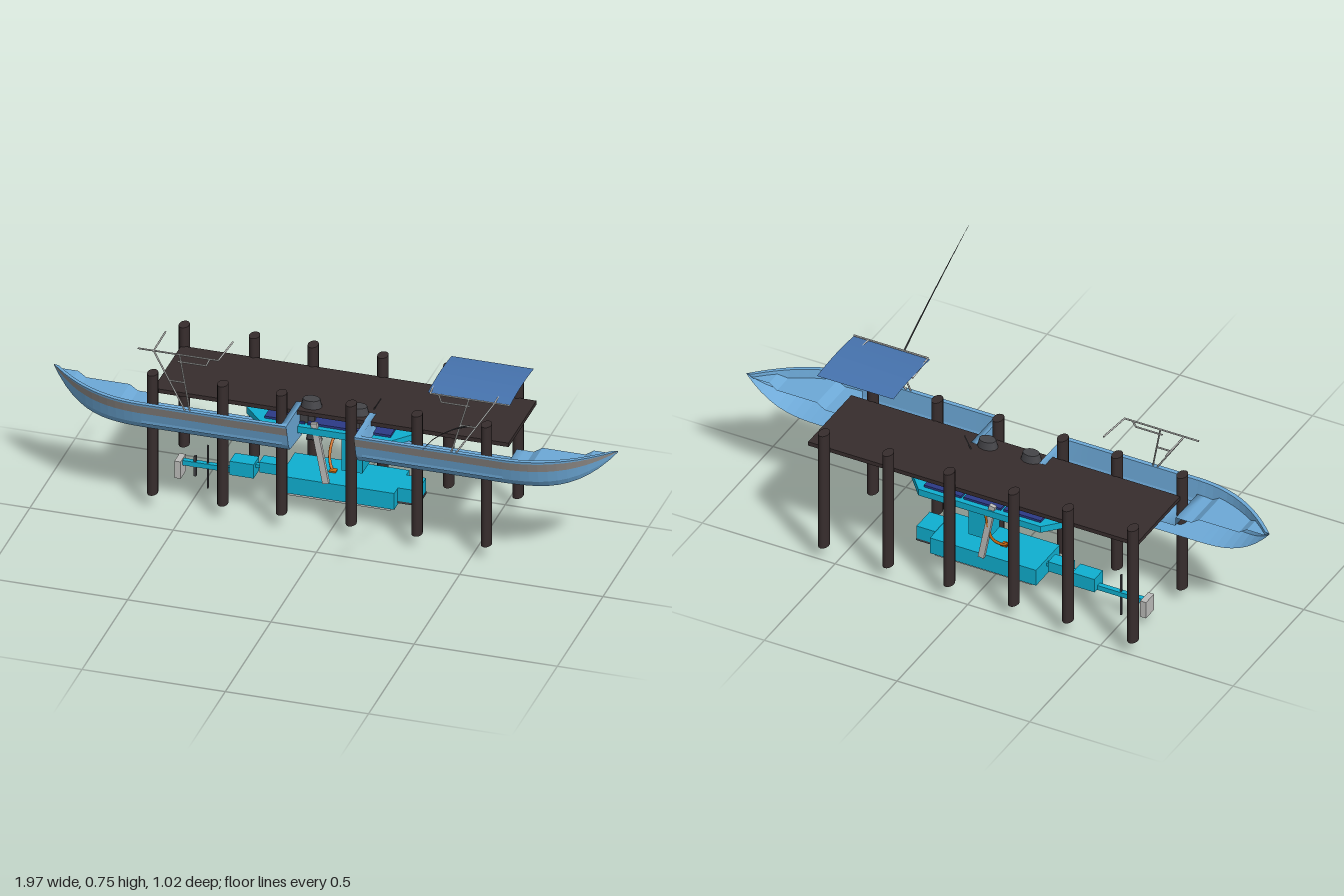
import * as THREE from 'three';

const paint = (name, color) => {
  const m = new THREE.MeshStandardMaterial({ color, side: THREE.DoubleSide });
  m.name = name;
  return m;
};
const M = {
  wood: paint('dark timber', 0x372d2d),
  blue: paint('hull blue', 0x6ca8d6),
  stripe: paint('stripe grey', 0x8f8b88),
  cyan: paint('vehicle cyan', 0x0fafd0),
  canvas: paint('canopy blue', 0x4673ae),
  metal: paint('pale metal', 0xbcbcba),
  orange: paint('cable orange', 0xcc6a10),
  solar: paint('panel blue', 0x2c3a86),
  dark: paint('engine grey', 0x444448),
};
const CUT = -0.215; // plane of the boats' open side
const AXIS = -0.31; // centre line of the underwater vehicle

const V = (x, y, z) => new THREE.Vector3(x, y, z);

function add(parent, name, geometry, material) {
  const mesh = new THREE.Mesh(geometry, material);
  mesh.name = name;
  parent.add(mesh);
  return mesh;
}

// Box given by its limits on each axis
function box(parent, name, material, x0, x1, y0, y1, z0, z1) {
  const m = add(parent, name, new THREE.BoxGeometry(Math.abs(x1 - x0), y1 - y0, Math.abs(z1 - z0)), material);
  m.position.set((x0 + x1) / 2, (y0 + y1) / 2, (z0 + z1) / 2);
  return m;
}

// Straight round bar between two points
function bar(parent, name, material, a, b, r0, r1 = r0, sides = 8) {
  const m = add(parent, name, new THREE.CylinderGeometry(r1, r0, a.distanceTo(b), sides), material);
  m.position.copy(a).add(b).multiplyScalar(0.5);
  m.quaternion.setFromUnitVectors(V(0, 1, 0), b.clone().sub(a).normalize());
  return m;
}

// Skin stretched over rows of points; flip reverses the facing
function skin(rows, flip) {
  const n = rows[0].length, index = [];
  for (let i = 0; i < rows.length - 1; i++) {
    for (let j = 0; j < n - 1; j++) {
      const a = i * n + j, b = a + 1, c = a + n, d = c + 1;
      index.push(...(flip ? [a, c, b, b, c, d] : [a, b, c, b, d, c]));
    }
  }
  const g = new THREE.BufferGeometry().setFromPoints(rows.flat());
  g.setIndex(index);
  g.computeVertexNormals();
  return g;
}

// Hull shape along the boat's length
const ramp = (x, a) => Math.min(1, Math.max(0, (x - a) / (0.985 - a)));
const breadth = x => 0.177 * (1 - Math.pow(ramp(x, 0.62), 2.2));
const keel = x => 0.316 + 0.118 * Math.pow(ramp(x, 0.7), 3);
const TOP = 0.437;

function floorHeight(x) {
  const y = x < 0.14 ? TOP : x <= 0.63 ? 0.352 : x <= 0.72 ? 0.385 : x <= 0.9 ? 0.405 : 0.425;
  return Math.max(y, keel(x) + 0.004);
}

function boat(s) {
  const g = new THREE.Group();
  const xs = [0.118];
  for (let x = 0.14; x < 0.62; x += 0.08) xs.push(x - 0.001, x);
  for (let x = 0.63; x < 0.97; x += 0.03) xs.push(x, x + 0.001);
  xs.push(0.965, 0.985);
  const outer = x => {
    const b = breadth(x), k = keel(x), h = TOP - k;
    return [[b, TOP], [b * 0.99, TOP - 0.07 * h], [b * 0.93, TOP - 0.34 * h],
      [b * 0.86, k + 0.3 * h], [b * 0.76, k + 0.1 * h], [0, k]];
  };
  const inner = x => {
    const b = breadth(x), w = Math.max(0, b - 0.016), f = floorHeight(x);
    return [[b, TOP], [w, TOP], [w * 0.96, f], [0, f]];
  };
  const strip = (name, section, j, mat, flip) => {
    const rows = xs.map(x => [j, j + 1].map(i => {
      const [w, y] = section(x)[i];
      return V(s * x, y, CUT + w);
    }));
    add(g, name, skin(rows, flip), mat);
  };
  ['gunwaleBand', 'sideStripe', 'upperSide', 'lowerSide', 'bottom'].forEach((n, j) =>
    strip(n, outer, j, j === 1 ? M.stripe : M.blue, s < 0));
  ['gunwale', 'innerWall', 'floor'].forEach((n, j) => strip(n, inner, j, M.blue, s > 0));

  // Flat stern
  const stern = outer(0.118).map(([w, y]) => [V(s * 0.118, y, CUT + w), V(s * 0.118, y, CUT)]);
  add(g, 'transom', skin(stern, s > 0), M.blue);

  // Canopy frame
  const frame = new THREE.Group();
  frame.name = 'canopyFrame';
  g.add(frame);
  const tubes = [
    [[0.47, 0.43, -0.045], [0.595, 0.622, -0.085]],
    [[0.455, 0.43, -0.045], [0.505, 0.622, -0.085]],
    [[0.37, 0.622, -0.085], [0.65, 0.622, -0.085]],
    [[0.37, 0.622, -0.085], [0.36, 0.625, CUT]],
    [[0.595, 0.622, -0.085], [0.595, 0.625, CUT]],
    [[0.41, 0.598, -0.08], [0.51, 0.598, -0.08]],
    [[0.41, 0.598, -0.08], [0.4, 0.622, -0.085]],
    [[0.48, 0.53, -0.065], [0.535, 0.53, -0.065]],
  ];
  for (const [a, b] of tubes) bar(frame, 'frameTube', M.metal, V(s * a[0], a[1], a[2]), V(s * b[0], b[1], b[2]), 0.003);

  // Outboard motor
  const motor = new THREE.Group();
  motor.name = 'outboardMotor';
  g.add(motor);
  const cowl = add(motor, 'cowling', new THREE.CylinderGeometry(0.75, 1, 0.04, 12), M.dark);
  cowl.scale.set(0.04, 1, 0.03);
  cowl.position.set(s * 0.082, 0.443, -0.205);
  box(motor, 'motorLeg', M.dark, s * 0.07, s * 0.095, 0.31, 0.43, CUT, -0.198);
  box(motor, 'motorBracket', M.dark, s * 0.09, s * 0.12, 0.375, 0.41, CUT, -0.19);
  bar(motor, 'gearcase', M.dark, V(s * 0.1, 0.31, -0.211), V(s * 0.05, 0.31, -0.211), 0.01, 0.006);
  for (let i = 0; i < 3; i++) {
    const a = i * 2.09;
    bar(motor, 'motorBlade', M.metal, V(s * 0.052, 0.31, -0.211),
      V(s * 0.052, 0.31 + 0.016 * Math.cos(a), -0.211 + 0.016 * Math.sin(a)), 0.004);
  }
  return g;
}

export function createModel() {
  const root = new THREE.Group();
  const part = name => {
    const g = new THREE.Group();
    g.name = name;
    root.add(g);
    return g;
  };

  // Dock
  const dock = part('dock');
  box(dock, 'deck', M.wood, -0.62, 0.62, 0.42, 0.435, -0.465, -0.16);
  for (const x of [-0.615, -0.37, -0.165, 0.078, 0.308, 0.55]) {
    for (const z of [-0.484, -0.137]) {
      const p = add(dock, 'piling', new THREE.CylinderGeometry(1, 1, 0.455, 16), M.wood);
      p.scale.set(0.018, 1, 0.026);
      p.position.set(x, 0.28, z);
    }
  }

  // Two mirrored boats
  for (const s of [1, -1]) {
    const b = boat(s);
    b.name = s > 0 ? 'leftBoat' : 'rightBoat';
    root.add(b);
  }

  // Gently arched canopy over the left boat
  const arch = [];
  for (let i = 0; i <= 8; i++) {
    const t = i / 8, y = 0.622 + 0.03 * t * (1 - t);
    arch.push([V(0.36, y, -0.09 - 0.26 * t), V(0.648, y, -0.09 - 0.26 * t)]);
  }
  add(root, 'canopy', skin(arch, false), M.canvas);

  // Fishing rod and short aerial
  const rod = [V(0.5, 0.512, -0.1), V(0.507, 0.605, 0.1), V(0.518, 0.702, 0.35), V(0.53, 0.745, 0.505)];
  const curve = new THREE.CatmullRomCurve3(rod);
  const pts = curve.getPoints(12);
  for (let i = 0; i < 12; i++) {
    bar(root, 'fishingRod', M.dark, pts[i], pts[i + 1], 0.0035 - 0.00026 * i, 0.0035 - 0.00026 * (i + 1), 6);
  }
  bar(root, 'aerial', M.dark, V(0.12, 0.43, -0.247), V(0.148, 0.48, -0.245), 0.002);

  // Floating platform with tapered ends
  const float = part('surfaceFloat');
  const plan = new THREE.Shape([[-0.32, 0.07], [-0.25, 0.145], [0.21, 0.145], [0.275, 0.07],
    [0.275, -0.07], [0.21, -0.145], [-0.25, -0.145], [-0.32, -0.07]].map(p => new THREE.Vector2(...p)));
  const slab = add(float, 'floatHull', new THREE.ExtrudeGeometry(plan, { depth: 0.025, bevelEnabled: false }), M.cyan);
  slab.rotation.x = -Math.PI / 2;
  slab.position.set(0, 0.347, AXIS);
  add(float, 'nosePlate', skin([
    [V(0.276, 0.35, -0.245), V(0.285, 0.392, -0.23)],
    [V(0.276, 0.35, -0.36), V(0.285, 0.392, -0.372)]], true), M.blue);
  for (const x of [-0.24, -0.09, 0.06]) {
    box(float, 'solarPanel', M.solar, x, x + 0.14, 0.372, 0.38, -0.435, -0.185);
  }
  box(float, 'mast', M.cyan, 0.003, 0.075, 0.17, 0.42, -0.352, -0.268);

  // Slanted arms and cable below the platform
  for (const z of [-0.175, -0.443]) {
    const arm = box(float, 'slantedArm', M.metal, -0.011, 0.011, -0.113, 0.113, -0.007, 0.007);
    arm.position.set(-0.043, 0.278, z);
    arm.rotation.z = 0.19;
  }
  const cable = new THREE.CatmullRomCurve3([V(-0.04, 0.13, AXIS), V(-0.06, 0.165, -0.335),
    V(-0.07, 0.2, -0.39), V(-0.055, 0.25, -0.435), V(-0.04, 0.35, -0.45)]);
  add(float, 'cable', new THREE.TubeGeometry(cable, 24, 0.005, 8), M.orange);
  box(float, 'cablePlug', M.orange, -0.052, -0.028, 0.12, 0.143, -0.322, -0.298);

  // Underwater vehicle
  const sub = part('underwaterVehicle');
  box(sub, 'body', M.cyan, -0.2, 0.2, 0.076, 0.138, -0.392, -0.225);
  box(sub, 'noseBox', M.cyan, 0.2, 0.27, 0.09, 0.14, -0.355, -0.262);
  box(sub, 'noseSensor', M.dark, 0.2, 0.272, 0.082, 0.09, -0.355, -0.262);
  box(sub, 'basePlate', M.metal, -0.18, 0.185, 0.067, 0.076, -0.385, -0.23);
  box(sub, 'couplingBox', M.cyan, -0.29, -0.215, 0.104, 0.143, -0.335, -0.285);
  box(sub, 'tailBox', M.cyan, -0.392, -0.308, 0.08, 0.132, -0.34, -0.28);
  box(sub, 'couplingBar', M.cyan, -0.31, -0.2, 0.11, 0.122, -0.318, -0.302);
  box(sub, 'tailBoom', M.cyan, -0.575, -0.39, 0.077, 0.095, -0.319, -0.301);
  box(sub, 'rudder', M.metal, -0.585, -0.563, 0.036, 0.1, -0.337, -0.28);
  box(sub, 'smallFin', M.dark, -0.525, -0.517, 0.04, 0.115, -0.316, -0.304);
  box(sub, 'longBlade', M.dark, -0.48, -0.475, 0, 0.162, -0.314, -0.306);
  return root;
}
